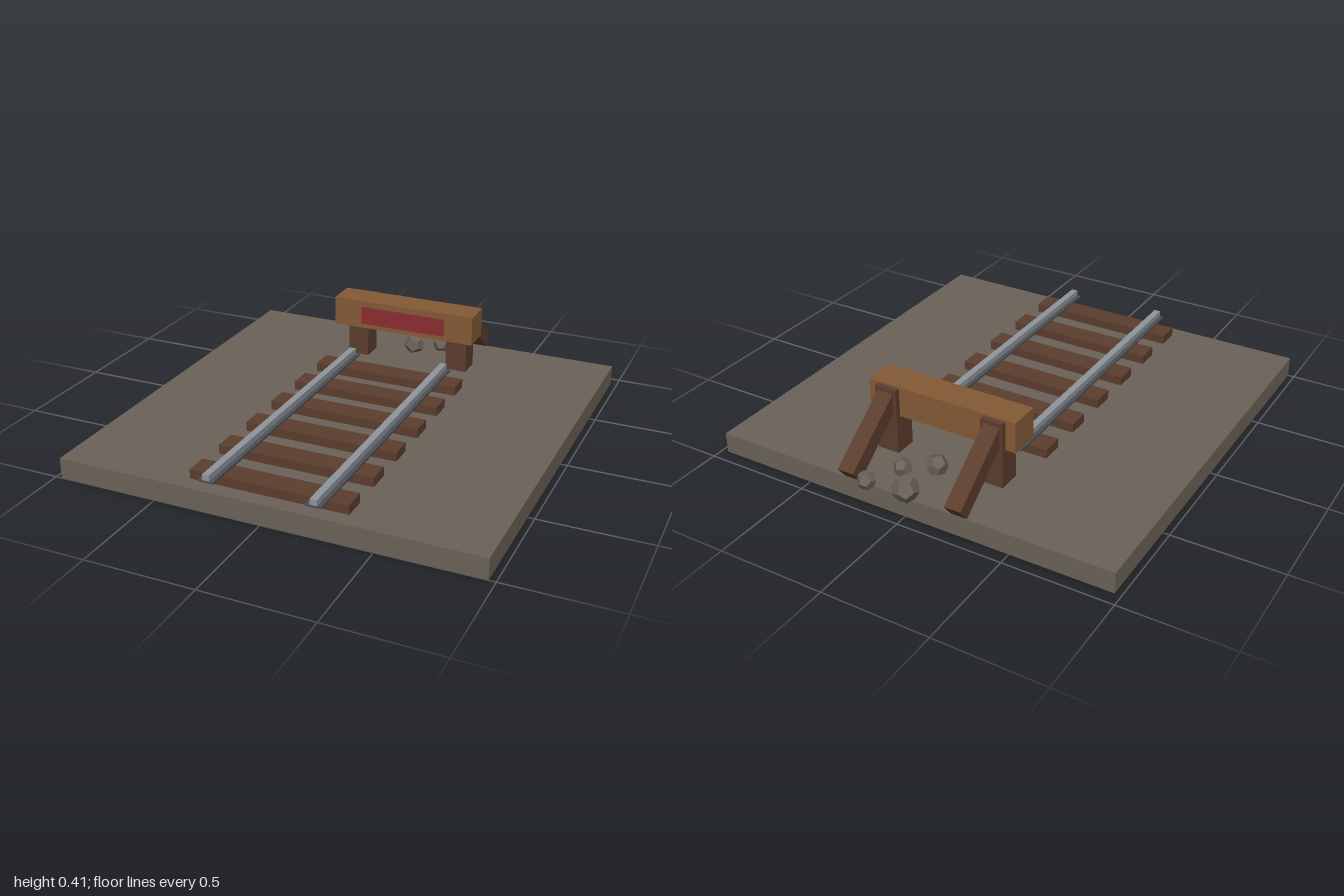
import * as THREE from 'three';

const material = (name, color) => {
  const m = new THREE.MeshStandardMaterial({ color });
  m.name = name;
  return m;
};

export function createModel() {
  const model = new THREE.Group();
  model.name = 'railwayEndStop';

  const earth = material('earth', 0x6b6258);
  const darkWood = material('darkWood', 0x5c3d2e);
  const lightWood = material('lightWood', 0x845a35);
  const redPaint = material('redPaint', 0x8a2d31);
  const steel = material('steel', 0x8f959d);
  const darkSteel = material('darkSteel', 0x4b4f56);
  const stone = material('stone', 0x6a6259);

  const add = (name, geometry, mat, x, y, z) => {
    const mesh = new THREE.Mesh(geometry, mat);
    mesh.name = name;
    mesh.position.set(x, y, z);
    model.add(mesh);
    return mesh;
  };
  const box = (name, mat, w, h, d, x, y, z) =>
    add(name, new THREE.BoxGeometry(w, h, d), mat, x, y, z);

  // Ground slab
  box('ground', earth, 1.94, 0.097, 1.94, 0, 0.0485, 0.03);

  // Sleepers
  for (let i = 0; i < 6; i++) {
    box('sleeper', darkWood, 0.728, 0.043, 0.107, 0, 0.1185, -0.34 + i * 0.2427);
  }

  // Rails, posts and raking braces, mirrored left and right
  const braceTop = new THREE.Vector2(-0.63, 0.378);
  const braceFoot = new THREE.Vector2(-0.959, 0.127);
  const braceRun = braceTop.clone().sub(braceFoot);
  for (const side of [1, -1]) {
    box('railFoot', darkSteel, 0.07, 0.01, 1.455, side * 0.243, 0.145, 0.2725);
    box('railHead', steel, 0.032, 0.027, 1.455, side * 0.243, 0.1635, 0.2725);
    box('post', darkWood, 0.106, 0.31, 0.107, side * 0.264, 0.252, -0.626);

    const brace = box('brace', darkWood, 0.078, 0.077, braceRun.length(), side * 0.265,
      (braceTop.y + braceFoot.y) / 2, (braceTop.x + braceFoot.x) / 2);
    brace.rotation.x = -braceRun.angle();
  }

  // Cross beam with its painted panel
  box('crossBeam', lightWood, 0.728, 0.143, 0.146, 0, 0.3435, -0.581);
  box('warningPanel', redPaint, 0.436, 0.088, 0.008, 0, 0.341, -0.504);

  // Loose stones behind the beam: x, y, z, radius
  const stones = [
    [-0.01, 0.144, -0.94, 0.06],
    [0.183, 0.125, -0.95, 0.043],
    [0.105, 0.128, -0.797, 0.043],
    [-0.016, 0.136, -0.72, 0.051],
  ];
  stones.forEach(([x, y, z, r], i) => {
    const rock = add('stone', new THREE.DodecahedronGeometry(r, 0), stone, x, y, z);
    rock.rotation.set(0.5 + i * 0.9, i * 1.3, i * 0.6);
  });

  return model;
}
